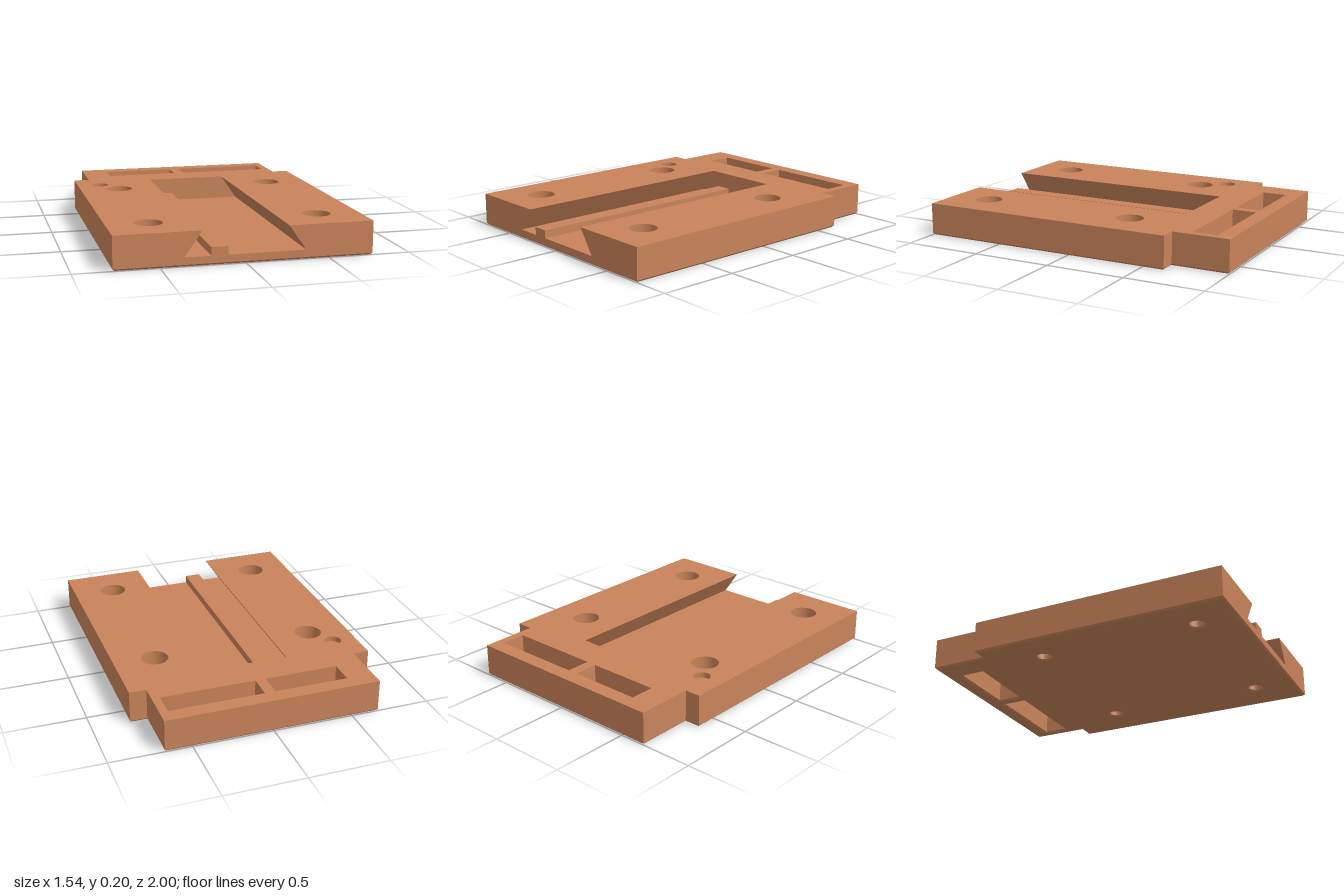
import * as THREE from 'three';
import { mergeGeometries, toCreasedNormals } from 'three/addons/utils/BufferGeometryUtils.js';

const H = 0.205;          // plate thickness
const C = 0.011;          // chamfer along the underside
const BACK = -0.54;       // rear end of the dovetail channel
const SEAT = 0.1;         // floor of the screw counterbores
const PIT = 0.17;         // floor of the small blind hole

// Plan loops are [x, -z], counter-clockwise seen from above; d insets them.
const outline = (d) => [
  [-0.77 + d, -1 + d], [0.77 - d, -1 + d], [0.77 - d, 0.64 - d], [0.665 - d, 0.64 - d],
  [0.665 - d, 1 - d], [-0.67 + d, 1 - d], [-0.67 + d, 0.64 - d], [-0.77 + d, 0.64 - d],
];
const circle = ([x, v], r) => Array.from({ length: 40 }, (_, i) => {
  const a = (i / 40) * Math.PI * 2;
  return [x + r * Math.cos(a), v + r * Math.sin(a)];
});
const rect = ([x0, x1, v0, v1], d = 0) => [
  [x0 - d, v0 - d], [x1 + d, v0 - d], [x1 + d, v1 + d], [x0 - d, v1 + d],
];

function face(loop, holes = []) {
  const toPoints = (l) => l.map(([x, y]) => new THREE.Vector2(x, y));
  const shape = new THREE.Shape(toPoints(loop));
  shape.holes = holes.map((h) => new THREE.Path(toPoints(h)));
  const g = new THREE.ShapeGeometry(shape).toNonIndexed();
  g.deleteAttribute('uv');
  return g;
}

// Horizontal face at height y, looking up or down
function cap(y, loop, holes = [], down = false) {
  const g = face(loop, holes).rotateX(-Math.PI / 2).translate(0, y, 0);
  if (down) {
    const p = g.attributes.position;
    for (let i = 0; i < p.count; i += 3) {
      const a = new THREE.Vector3().fromBufferAttribute(p, i + 1);
      const b = new THREE.Vector3().fromBufferAttribute(p, i + 2);
      p.setXYZ(i + 1, b.x, b.y, b.z);
      p.setXYZ(i + 2, a.x, a.y, a.z);
    }
    g.computeVertexNormals();
  }
  return g;
}

// Quads between two rows of 3D points
function strip(low, high, closed) {
  const pos = [];
  const n = low.length;
  for (let i = 0; i < (closed ? n : n - 1); i++) {
    const j = (i + 1) % n;
    pos.push(...low[i], ...low[j], ...high[j], ...low[i], ...high[j], ...high[i]);
  }
  const g = new THREE.BufferGeometry();
  g.setAttribute('position', new THREE.Float32BufferAttribute(pos, 3));
  g.computeVertexNormals();
  return g;
}

const lift = (loop, y) => loop.map(([x, v]) => [x, y, -v]);
const wall = (a, ya, b, yb, closed = true) => strip(lift(a, ya), lift(b, yb), closed);
const holeWall = (a, ya, b, yb) => wall([...a].reverse(), ya, [...b].reverse(), yb);

export function createModel() {
  const group = new THREE.Group();
  const copper = new THREE.MeshStandardMaterial({ color: 0xc8835a });
  copper.name = 'copper';
  const add = (name, parts) => {
    const mesh = new THREE.Mesh(toCreasedNormals(mergeGeometries(parts), 0.5), copper);
    mesh.name = name;
    group.add(mesh);
  };

  const screws = [[-0.515, 0.285], [0.51, 0.285], [-0.515, -0.74], [0.51, -0.74]];
  const slots = [[-0.5, -0.04, 0.75, 0.905], [0.025, 0.615, 0.75, 0.905]];
  const pit = circle([-0.62, 0.44], 0.053);

  // Dovetail cross-section with the raised rail, left to right
  const profile = [
    [-0.257, H], [-0.36, 0.055], [-0.205, 0.055], [-0.205, 0.105],
    [-0.105, 0.105], [-0.105, 0.055], [0.36, 0.055], [0.257, H],
  ];

  // Top surface, notched by the channel mouth
  const [frontLeft, ...rest] = outline(0);
  const mouth = [[-0.257, -1], [-0.257, -BACK], [0.257, -BACK], [0.257, -1]];
  add('plateTop', [cap(H, [frontLeft, ...mouth, ...rest],
    [...screws.map((s) => circle(s, 0.085)), ...slots.map((s) => rect(s)), pit])]);

  // Sides and back; the front has its own dovetail-shaped face
  add('plateSides', [wall([...rest, frontLeft], C, [...rest, frontLeft], H, false)]);
  add('plateFront', [
    face([[-0.77, C], [0.77, C], [0.77, H], ...[...profile].reverse(), [-0.77, H]]).translate(0, 0, 1),
  ]);

  // Chamfered underside
  add('underside', [
    wall(outline(C), 0, outline(0), C),
    cap(0, outline(C), [...screws.map((s) => circle(s, 0.045 + C)), ...slots.map((s) => rect(s, C))], true),
  ]);

  // Channel floor, rail, sloping sides and end wall
  const row = (z) => profile.map(([x, y]) => [x, y, z]);
  add('dovetailChannel', [strip(row(1), row(BACK), false), face(profile).translate(0, 0, BACK)]);

  // Counterbored screw holes
  for (const s of screws) {
    const bore = circle(s, 0.085);
    const hole = circle(s, 0.045);
    add('screwHole', [
      holeWall(bore, SEAT, bore, H),
      cap(SEAT, bore, [hole]),
      holeWall(hole, C, hole, SEAT),
      holeWall(circle(s, 0.045 + C), 0, hole, C),
    ]);
  }

  // Strap slots through the rear tab
  for (const s of slots) {
    add('strapSlot', [holeWall(rect(s), C, rect(s), H), holeWall(rect(s, C), 0, rect(s), C)]);
  }

  // Small blind hole
  add('blindHole', [holeWall(pit, PIT, pit, H), cap(PIT, pit)]);

  return group;
}
